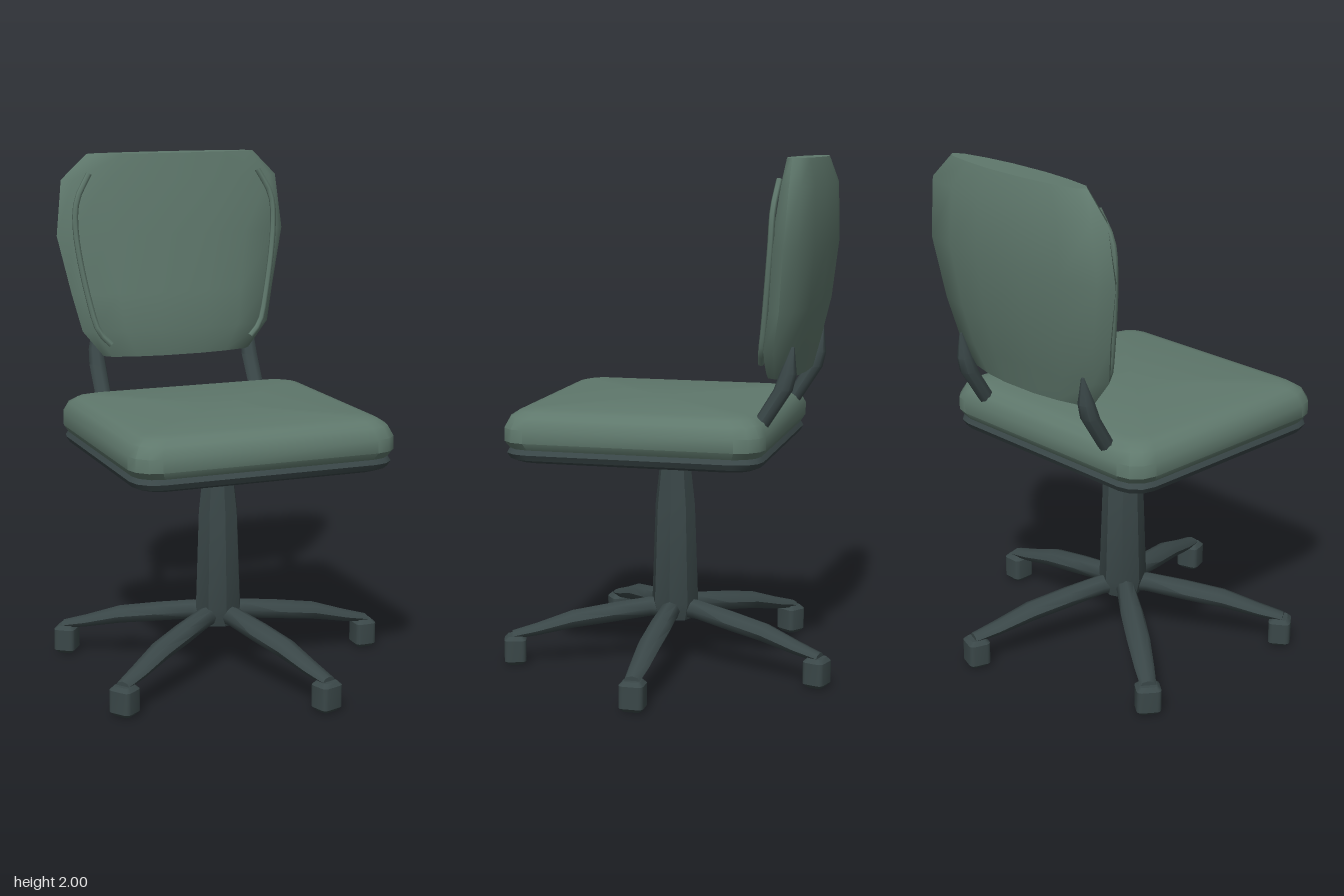
import * as THREE from 'three';
import { toCreasedNormals } from 'three/addons/utils/BufferGeometryUtils.js';

const green = new THREE.MeshStandardMaterial({ color: 0x5f786c });
green.name = 'green fabric';
const dark = new THREE.MeshStandardMaterial({ color: 0x3a4748 });
dark.name = 'dark frame';

// Skin a list of rings (arrays of [x, y, z]) and optionally close both ends
function loft(rings, crease = 0.6, caps = true) {
  const n = rings[0].length, pos = rings.flat(2), idx = [];
  for (let r = 0; r < rings.length - 1; r++) {
    for (let i = 0; i < n; i++) {
      const a = r * n + i, c = r * n + (i + 1) % n;
      idx.push(a, a + n, c, c, a + n, c + n);
    }
  }
  if (caps) {
    [0, rings.length - 1].forEach((r, end) => {
      const center = pos.length / 3;
      for (let k = 0; k < 3; k++) pos.push(rings[r].reduce((s, p) => s + p[k], 0) / n);
      for (let i = 0; i < n; i++) {
        const a = r * n + i, b = r * n + (i + 1) % n;
        if (end) idx.push(center, b, a);
        else idx.push(center, a, b);
      }
    });
  }
  const g = new THREE.BufferGeometry();
  g.setAttribute('position', new THREE.Float32BufferAttribute(pos, 3));
  g.setIndex(idx);
  return toCreasedNormals(g, crease);
}

// Horizontal rectangle with rounded corners
function roundedRing(hw, hd, radius, y, inset = 0) {
  const ring = [], r = Math.max(radius - inset * 0.4, 0.005);
  const w = hw - inset - r, d = hd - inset - r;
  [[1, 1], [-1, 1], [-1, -1], [1, -1]].forEach(([sx, sz], q) => {
    for (let k = 0; k <= 3; k++) {
      const a = (q + k / 3) * Math.PI / 2;
      ring.push([sx * w + r * Math.cos(a), y, sz * d + r * Math.sin(a)]);
    }
  });
  return ring;
}

function ellipseRing(n, point) {
  return Array.from({ length: n }, (_, i) => {
    const a = (i / n) * Math.PI * 2;
    return point(Math.cos(a), Math.sin(a));
  });
}

function add(parent, name, geometry, material) {
  const mesh = new THREE.Mesh(geometry, material);
  mesh.name = name;
  parent.add(mesh);
  return mesh;
}

export function createModel() {
  const chair = new THREE.Group();
  chair.name = 'swivelChair';
  const body = new THREE.Group();
  body.name = 'chairBody';
  body.position.x = -0.057;
  chair.add(body);

  // Tapered eight-sided column: [y, radius]
  const column = [[0.18, 0.075], [0.25, 0.094], [0.64, 0.08], [0.89, 0.052]];
  add(body, 'column', loft(column.map(([y, r]) =>
    ellipseRing(8, (c, s) => [c * r, y, s * r]))), dark);

  // Five arms with a foot at the end of each: [distance, y, half height, half width]
  const arm = [[0.03, 0.22, 0.038, 0.035], [0.1, 0.222, 0.04, 0.038],
    [0.25, 0.2, 0.04, 0.045], [0.41, 0.175, 0.037, 0.045],
    [0.55, 0.137, 0.026, 0.038], [0.65, 0.115, 0.017, 0.03]];
  const armGeometry = loft(arm.map(([x, y, hh, hw]) =>
    ellipseRing(8, (c, s) => [x, y + hh * c, -hw * s])), 0.85);
  const footGeometry = loft([[0, 0.014], [0.015, 0], [0.1, 0], [0.115, 0.014]].map(
    ([y, inset]) => roundedRing(0.043, 0.047, 0.018, y, inset)));
  for (let i = 0; i < 5; i++) {
    const leg = new THREE.Group();
    leg.name = 'baseLeg' + (i + 1);
    leg.rotation.y = i * Math.PI * 2 / 5;
    add(leg, 'arm', armGeometry, dark);
    add(leg, 'foot', footGeometry, dark).position.x = 0.638;
    body.add(leg);
  }

  // Seat cushion and the dark rim below it: [y, inset]
  const seat = new THREE.Group();
  seat.name = 'seat';
  seat.position.z = 0.055;
  body.add(seat);
  const seatRings = (list) => list.map(([y, inset]) => roundedRing(0.52, 0.5, 0.1, y, inset));
  add(seat, 'cushion', loft(seatRings(
    [[0.877, 0.05], [0.92, 0.02], [0.95, 0], [1.0, 0], [1.04, 0.02], [1.06, 0.05], [1.07, 0.09]])), green);
  add(seat, 'rim', loft(seatRings(
    [[0.88, 0.075], [0.87, 0.05], [0.883, 0.02], [0.905, 0.008], [0.93, 0.022]]), 0.6, false), dark);

  // Backrest of lens-shaped sections: [y, half width, front z, back z]
  const back = [[1.195, 0.315, -0.385, -0.53], [1.3, 0.4, -0.37, -0.555],
    [1.45, 0.435, -0.39, -0.59], [1.68, 0.485, -0.412, -0.614],
    [1.9, 0.46, -0.447, -0.606], [2.0, 0.355, -0.463, -0.574]];
  const quarter = [[1, 0], [0.91, 0.45], [0.6, 0.8], [0.25, 1]];
  const upper = [...quarter, ...quarter.slice(1).reverse().map(([u, v]) => [-u, v])];
  const lens = [...upper, [-1, 0], ...upper.slice(1).reverse().map(([u, v]) => [u, -v])];
  add(body, 'backrest', loft(back.map(([y, w, front, rear]) => lens.map(
    ([u, v]) => [u * w, y, (front + rear) / 2 + v * (front - rear) / 2])), 0.9), green);

  // Mirrored support bars and piping: bars as [y, z, radius]
  const bar = [[0.865, -0.315, 0.03], [1.0, -0.39, 0.034], [1.16, -0.49, 0.036],
    [1.22, -0.508, 0.032], [1.32, -0.525, 0.006]];
  for (const side of [-1, 1]) {
    const label = side < 0 ? 'right' : 'left';
    add(body, label + 'SupportBar', loft(bar.map(([y, z, r]) =>
      ellipseRing(8, (c, s) => [side * 0.332 + c * r * 0.95, y, z + s * r])), 0.85), dark);
    const path = new THREE.CatmullRomCurve3([[0.36, 1.925, -0.474], [0.415, 1.82, -0.462],
      [0.422, 1.69, -0.455], [0.375, 1.4, -0.425], [0.345, 1.3, -0.41], [0.3, 1.25, -0.4]]
      .map(([x, y, z]) => new THREE.Vector3(side * x, y, z)));
    add(body, label + 'Piping', new THREE.TubeGeometry(path, 16, 0.012, 6), green);
  }

  return chair;
}
